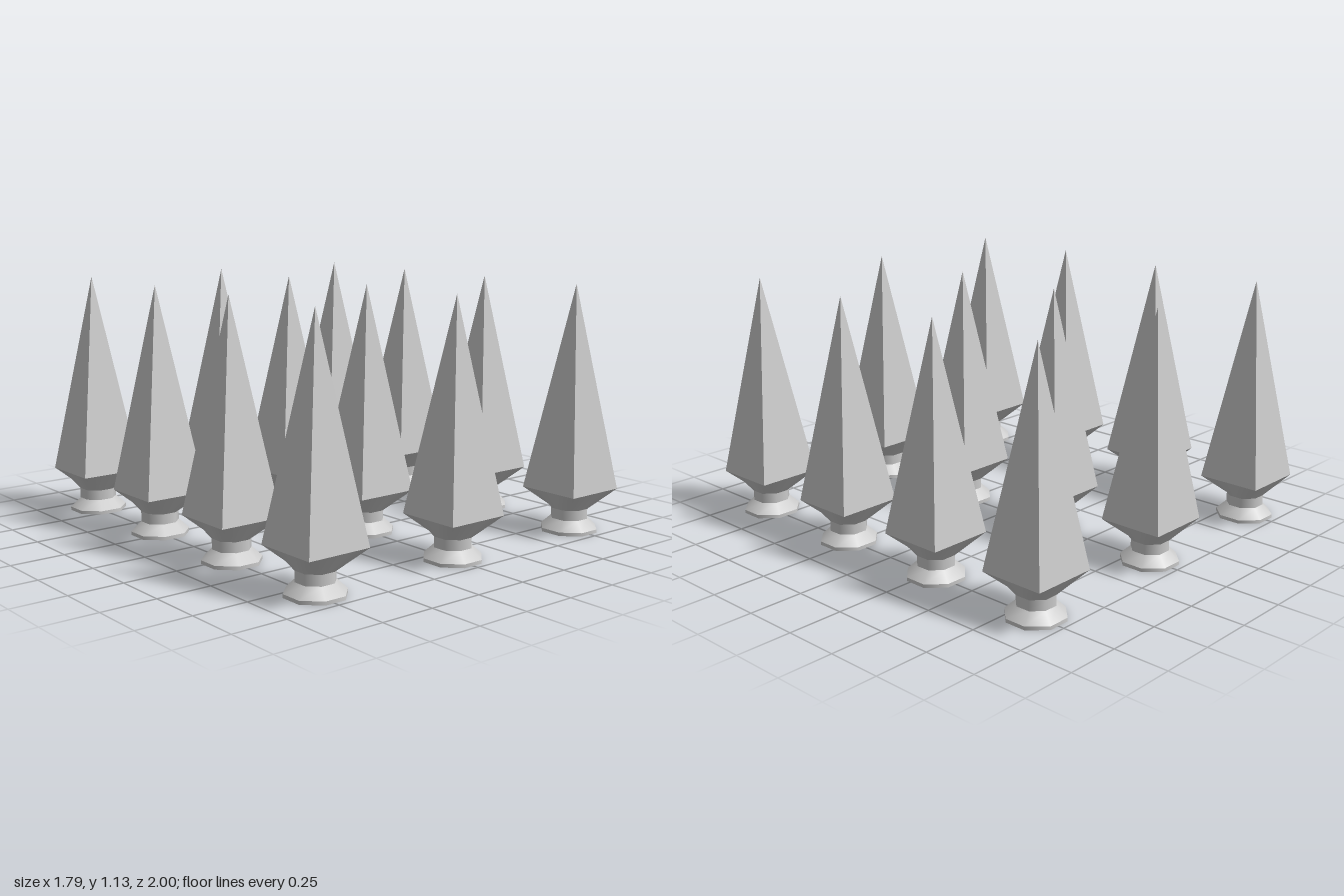
import * as THREE from 'three';

const smooth = new THREE.MeshStandardMaterial({ color: 0xcccccc });
const faceted = new THREE.MeshStandardMaterial({ color: 0xcccccc, flatShading: true });

// Distance to the edge of a regular polygon whose flats face the axes
function polygonRadius(apothem, sides, angle) {
  const step = (2 * Math.PI) / sides;
  const offset = angle - Math.round(angle / step) * step;
  return apothem / Math.cos(offset);
}

// Octagonal ring between two heights, sized across its flats
function octagon(bottom, top, y0, y1) {
  const k = 1 / Math.cos(Math.PI / 8);
  return new THREE.CylinderGeometry(top * k, bottom * k, y1 - y0, 8, 1, true, Math.PI / 8)
    .translate(0, (y0 + y1) / 2, 0);
}

// Underside that blends from the octagonal neck to the square spike
function transition(neck, half, y0, y1) {
  const geo = new THREE.CylinderGeometry(1, 1, y1 - y0, 16, 1, true);
  const pos = geo.attributes.position;
  for (let i = 0; i < pos.count; i++) {
    const a = Math.atan2(pos.getX(i), pos.getZ(i));
    const r = pos.getY(i) > 0 ? polygonRadius(half, 4, a) : polygonRadius(neck, 8, a);
    pos.setX(i, r * Math.sin(a));
    pos.setZ(i, r * Math.cos(a));
  }
  geo.translate(0, (y0 + y1) / 2, 0);
  geo.computeVertexNormals();
  return geo;
}

export function createModel() {
  const base = 0.1225, neck = 0.079, half = 0.15;
  const tip = 1.13, shoulder = 0.197;

  const parts = [
    ['footBottom', new THREE.CircleGeometry(base / Math.cos(Math.PI / 8), 8, Math.PI / 8).rotateX(Math.PI / 2), smooth],
    ['footRim', octagon(base, base, 0, 0.016), smooth],
    ['footFlare', octagon(base, neck, 0.016, 0.06), smooth],
    ['neck', octagon(neck, neck, 0.06, 0.107), smooth],
    ['spikeUnderside', transition(neck, half, 0.107, shoulder), smooth],
    ['spike', new THREE.ConeGeometry(half * Math.SQRT2, tip - shoulder, 4, 1, true, Math.PI / 4)
      .translate(0, (tip + shoulder) / 2, 0), faceted],
  ];

  // Three columns by four rows of identical studs
  const model = new THREE.Group();
  model.name = 'spikeGrid';
  for (let col = 0; col < 3; col++) {
    for (let row = 0; row < 4; row++) {
      const stud = new THREE.Group();
      stud.name = `stud_${col}_${row}`;
      for (const [name, geo, mat] of parts) {
        const mesh = new THREE.Mesh(geo, mat);
        mesh.name = name;
        stud.add(mesh);
      }
      stud.position.set((col - 1) * 0.745, 0, (row - 1.5) * (1.7 / 3));
      model.add(stud);
    }
  }
  return model;
}
